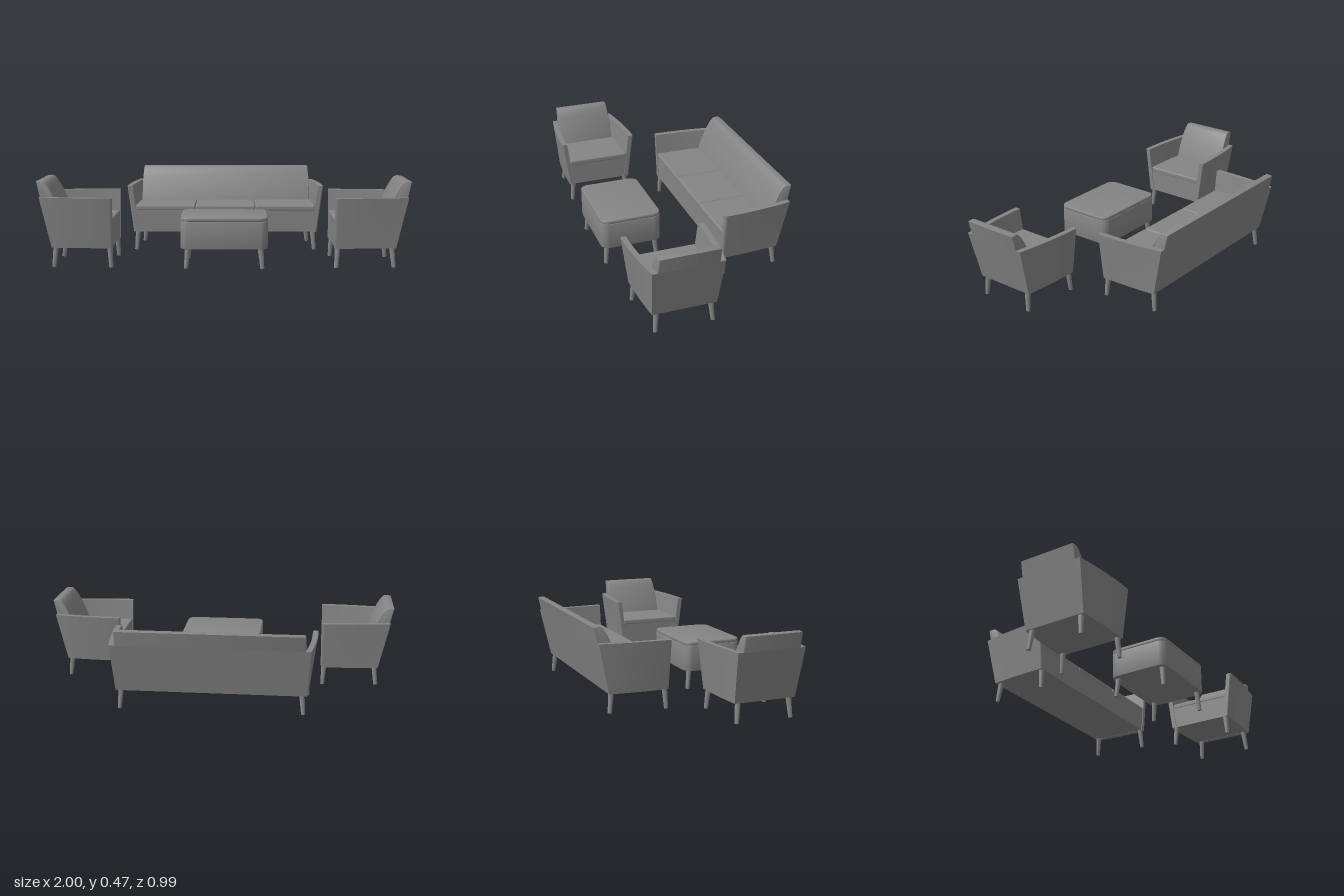
import * as THREE from 'three';
import { toCreasedNormals } from 'three/addons/utils/BufferGeometryUtils.js';
import { RoundedBoxGeometry } from 'three/addons/geometries/RoundedBoxGeometry.js';

const BASE_Y = 0.107, ARM_TOP = 0.38, PANEL = 0.03;
const material = new THREE.MeshStandardMaterial({ color: 0x858585 });

function add(group, name, geometry) {
  const mesh = new THREE.Mesh(geometry, material);
  mesh.name = name;
  group.add(mesh);
  return mesh;
}

// Box whose vertices are moved by rule(u, v, w), each running 0..1
function warpedBox(su, sv, sw, rule) {
  const g = new THREE.BoxGeometry(1, 1, 1, su, sv, sw);
  const p = g.attributes.position;
  for (let i = 0; i < p.count; i++) {
    p.setXYZ(i, ...rule(p.getX(i) + 0.5, p.getY(i) + 0.5, p.getZ(i) + 0.5));
  }
  g.computeVertexNormals();
  return g;
}

// Tapered leg between two points
function leg(group, name, top, bottom) {
  const a = new THREE.Vector3(...top), b = new THREE.Vector3(...bottom);
  const dir = a.clone().sub(b);
  const g = new THREE.CylinderGeometry(0.015, 0.011, dir.length(), 16);
  const mesh = add(group, name, g);
  mesh.quaternion.setFromUnitVectors(new THREE.Vector3(0, 1, 0), dir.clone().normalize());
  mesh.position.copy(a).add(b).multiplyScalar(0.5);
}

// Seat with its front at z = 0, facing +z; half is half the width across the arms
function createSeat(name, half, cushionCount) {
  const seat = new THREE.Group();
  seat.name = name;

  // Outer surface of the flared, curved shell (v = height, t = front to back)
  const height = v => BASE_Y + v * (ARM_TOP - BASE_Y);
  const backZ = v => -(0.33 + 0.06 * v);
  const outerX = (v, t) => half - 0.036 * (1 - v) - t * t * (0.017 + 0.019 * v);

  // Arms, with the outer front edge softened
  for (const side of [1, -1]) {
    add(seat, side > 0 ? 'leftArm' : 'rightArm', warpedBox(1, 4, 10, (u, v, w) => {
      const t = (1 - w) ** 2;
      const out = side > 0 ? u : 1 - u;
      const soft = w === 1 ? 0.006 * out : 0;
      return [side * (outerX(v, t) - PANEL * (1 - out) - soft), height(v), backZ(v) * t];
    }));
  }

  // Back panel, flush between the arms
  add(seat, 'backPanel', warpedBox(1, 4, 1, (u, v, w) => [
    (u * 2 - 1) * (outerX(v, 1) - PANEL), height(v), backZ(v) + PANEL * w]));

  // Base under the cushions
  add(seat, 'seatBase', warpedBox(1, 4, 6, (u, v, w) => {
    const h = 0.004 + v * 0.47, t = 1 - w;
    return [(u * 2 - 1) * (outerX(h, t) - 0.015), height(h), -0.004 + (backZ(h) + 0.014) * t];
  }));

  // Seat cushions
  const width = 2 * (half - 0.045) / cushionCount;
  for (let i = 0; i < cushionCount; i++) {
    const cushion = add(seat, 'seatCushion', new RoundedBoxGeometry(width - 0.002, 0.032, 0.33, 3, 0.009));
    cushion.position.set((i - (cushionCount - 1) / 2) * width, 0.248, -0.167);
  }

  // Backrest cushion: leaning profile in (z, y) extruded across
  const profile = new THREE.Shape();
  profile.moveTo(-0.268, 0.24);
  profile.quadraticCurveTo(-0.288, 0.315, -0.322, 0.385);
  profile.quadraticCurveTo(-0.35, 0.445, -0.366, 0.457);
  profile.quadraticCurveTo(-0.374, 0.463, -0.388, 0.462);
  profile.lineTo(-0.404, 0.459);
  profile.lineTo(-0.354, 0.24);
  const span = 2 * (half - 0.061), bevel = 0.004;
  const back = new THREE.ExtrudeGeometry(profile, {
    depth: span - 2 * bevel, bevelSize: bevel, bevelThickness: bevel, bevelSegments: 3, curveSegments: 8 });
  back.translate(0, 0, -(span / 2 - bevel)).rotateY(-Math.PI / 2);
  // Ends lean slightly inward above the arms
  const p = back.attributes.position;
  for (let i = 0; i < p.count; i++) {
    const rise = Math.max(0, (p.getY(i) - ARM_TOP) / 0.085);
    p.setX(i, p.getX(i) - Math.sign(p.getX(i)) * 0.006 * rise);
  }
  add(seat, 'backrest', toCreasedNormals(back, 0.6));

  // Splayed legs
  for (const s of [1, -1]) {
    leg(seat, 'frontLeg', [s * (half - 0.06), 0.115, -0.018], [s * (half - 0.05), 0, -0.011]);
    leg(seat, 'backLeg', [s * (half - 0.081), 0.115, -0.31], [s * (half - 0.071), 0, -0.322]);
  }
  return seat;
}

// Horizontal slab with rounded corners and softened edges
function roundedSlab(w, d, r, y0, y1, bevel) {
  const x = w / 2 - bevel, z = d / 2 - bevel, s = new THREE.Shape();
  s.absarc(x - r, z - r, r, 0, Math.PI / 2);
  s.absarc(r - x, z - r, r, Math.PI / 2, Math.PI);
  s.absarc(r - x, r - z, r, Math.PI, Math.PI * 1.5);
  s.absarc(x - r, r - z, r, Math.PI * 1.5, Math.PI * 2);
  s.closePath();
  const g = new THREE.ExtrudeGeometry(s, {
    depth: y1 - y0 - 2 * bevel, bevelSize: bevel, bevelThickness: bevel, bevelSegments: 3, curveSegments: 8 });
  g.rotateX(-Math.PI / 2).translate(0, y0 + bevel, 0);
  return toCreasedNormals(g, 0.7);
}

function createOttoman() {
  const ottoman = new THREE.Group();
  ottoman.name = 'ottoman';
  add(ottoman, 'ottomanBody', roundedSlab(0.466, 0.342, 0.04, BASE_Y, 0.256, 0.003));
  add(ottoman, 'ottomanCushion', roundedSlab(0.466, 0.342, 0.04, 0.255, 0.276, 0.005));
  for (const sx of [1, -1]) {
    for (const sz of [1, -1]) {
      leg(ottoman, 'ottomanLeg', [sx * 0.195, 0.112, sz * 0.138], [sx * 0.204, 0, sz * 0.148]);
    }
  }
  return ottoman;
}

export function createModel() {
  const model = new THREE.Group();
  model.name = 'loungeSet';

  const sofa = createSeat('sofa', 0.575, 3);
  sofa.position.set(0.004, 0, -0.09);
  model.add(sofa);

  // Two armchairs facing each other
  for (const s of [1, -1]) {
    const chair = createSeat(s > 0 ? 'leftArmchair' : 'rightArmchair', 0.226, 1);
    chair.position.set(s * 0.592, 0, 0.27);
    chair.rotation.y = -s * Math.PI / 2;
    model.add(chair);
  }

  const ottoman = createOttoman();
  ottoman.position.set(0.003, 0, 0.32);
  model.add(ottoman);
  return model;
}
